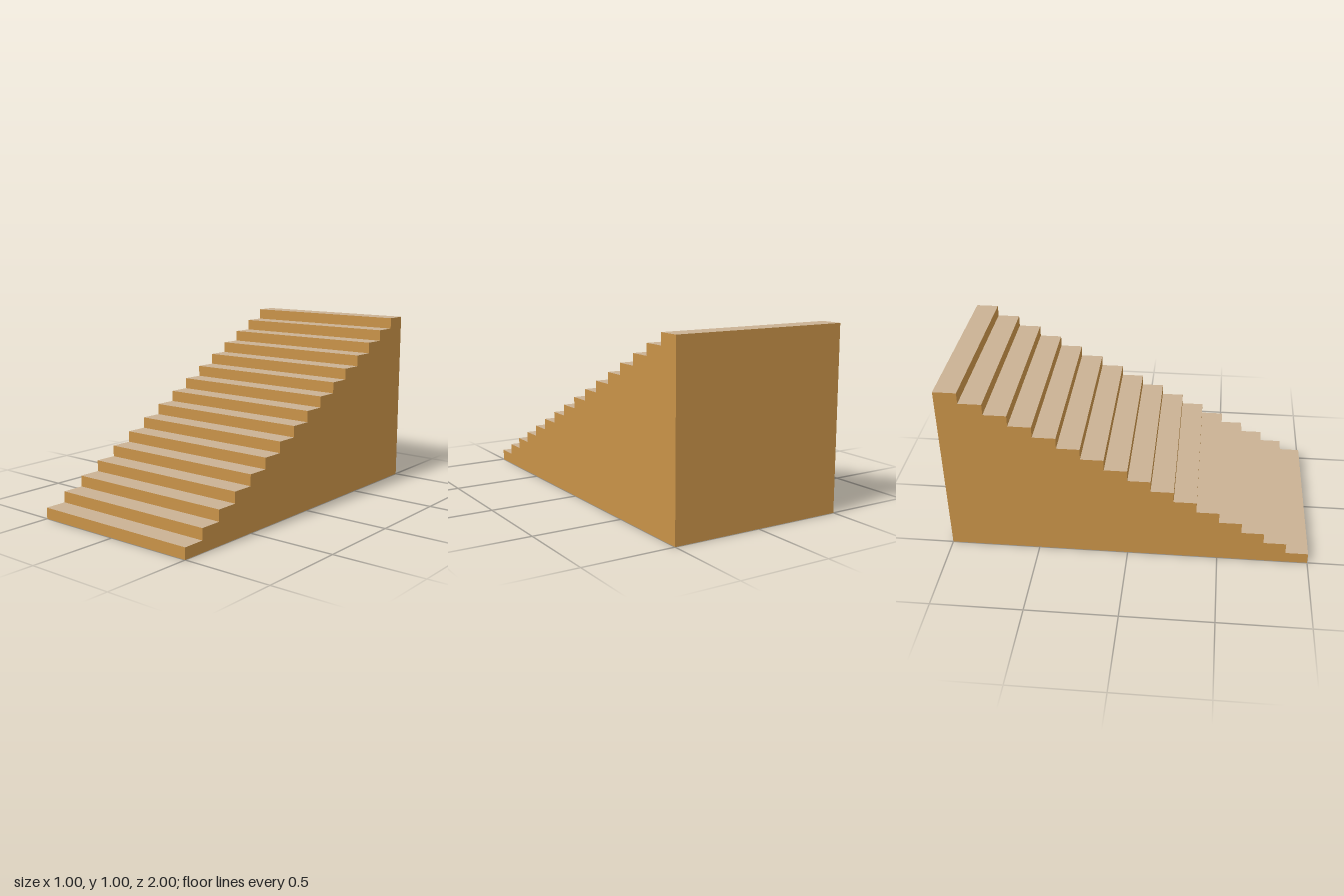
import * as THREE from 'three';

const STEPS = 16, WIDTH = 1, HEIGHT = 1, LENGTH = 2;
const RISE = HEIGHT / STEPS, RUN = LENGTH / STEPS;

export function createModel() {
  const model = new THREE.Group();
  model.name = 'staircase';

  const wood = new THREE.MeshStandardMaterial({ name: 'wood', color: 0xc89248 });
  const tread = new THREE.MeshStandardMaterial({ name: 'pale tread', color: 0xc9b193 });

  const add = (name, geometry, material, parent = model) => {
    const mesh = new THREE.Mesh(geometry, material);
    mesh.name = name;
    parent.add(mesh);
    return mesh;
  };

  // Stepped side walls; dir is the side of x the wall faces
  const sideWall = (dir) => {
    const shape = new THREE.Shape();
    shape.moveTo(-dir * LENGTH / 2, 0);
    for (let i = 0; i < STEPS; i++) {
      const y = (i + 1) * RISE;
      shape.lineTo(dir * (i * RUN - LENGTH / 2), y);
      shape.lineTo(dir * ((i + 1) * RUN - LENGTH / 2), y);
    }
    shape.lineTo(dir * LENGTH / 2, 0);
    return new THREE.ShapeGeometry(shape)
      .rotateY(dir * Math.PI / 2)
      .translate(dir * WIDTH / 2, 0, 0);
  };
  add('leftWall', sideWall(1), wood);
  add('rightWall', sideWall(-1), wood);

  // Risers and treads, climbing towards the back
  const riserGeometry = new THREE.PlaneGeometry(WIDTH, RISE);
  const treadGeometry = new THREE.PlaneGeometry(WIDTH, RUN).rotateX(-Math.PI / 2);
  for (let i = 0; i < STEPS; i++) {
    const step = new THREE.Group();
    step.name = `step${i + 1}`;
    step.position.set(0, i * RISE, LENGTH / 2 - i * RUN);
    add('riser', riserGeometry, wood, step).position.y = RISE / 2;
    add('tread', treadGeometry, tread, step).position.set(0, RISE, -RUN / 2);
    model.add(step);
  }

  // Back wall and underside
  add('backWall', new THREE.PlaneGeometry(WIDTH, HEIGHT).rotateY(Math.PI), wood)
    .position.set(0, HEIGHT / 2, -LENGTH / 2);
  add('underside', new THREE.PlaneGeometry(WIDTH, LENGTH).rotateX(Math.PI / 2), tread);

  return model;
}
